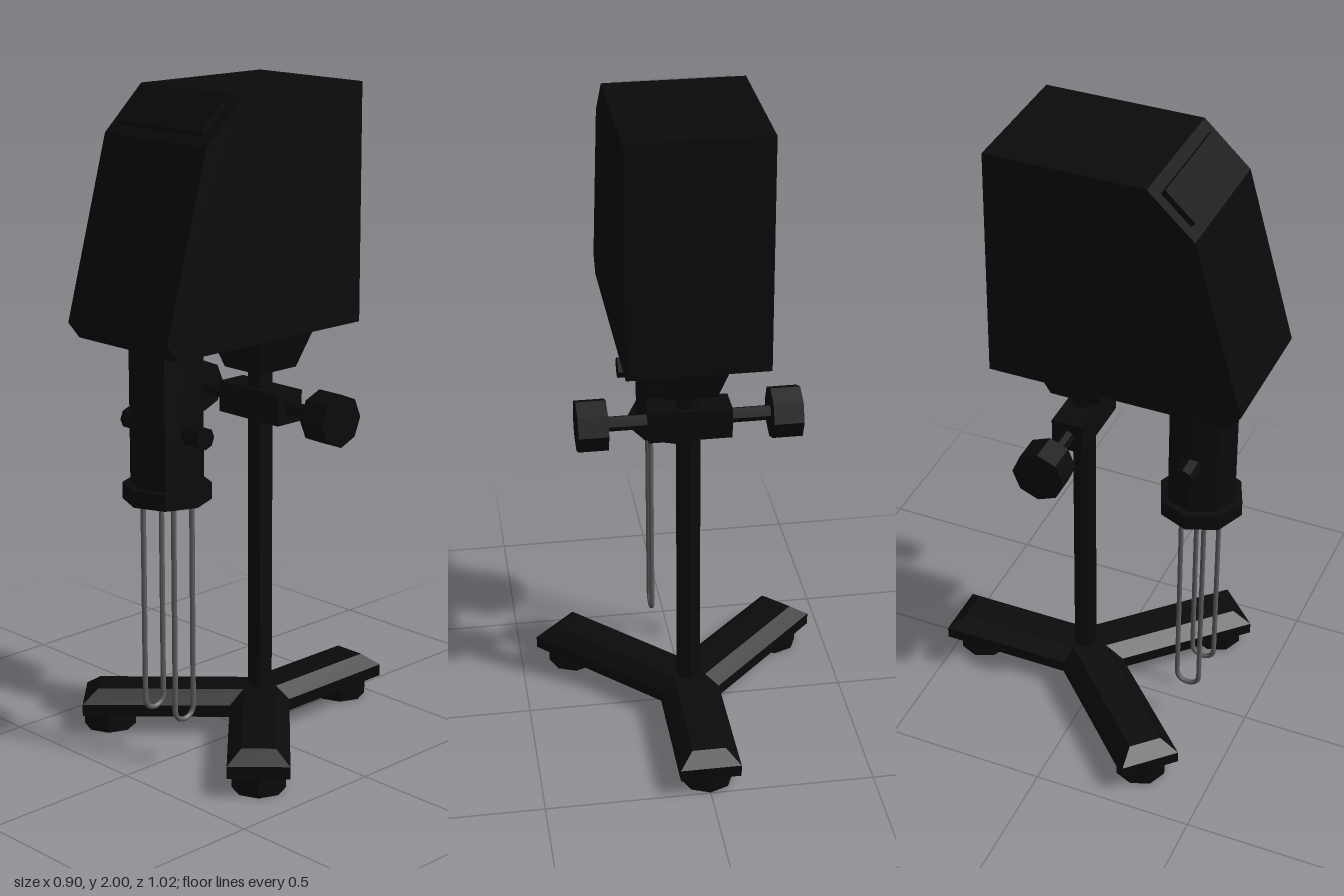
import * as THREE from 'three';

const black = new THREE.MeshStandardMaterial({ color: 0x0a0a0a, flatShading: true });
const steel = new THREE.MeshStandardMaterial({ color: 0x606060 });

const POST_Z = -0.055, BARREL_Z = 0.325, AXLE_Y = 1.045;

export function createModel() {
  const model = new THREE.Group();

  const add = (name, geometry, x = 0, y = 0, z = 0, parent = model, material = black) => {
    const mesh = new THREE.Mesh(geometry, material);
    mesh.name = name;
    mesh.position.set(x, y, z);
    parent.add(mesh);
    return mesh;
  };
  // Octagonal cylinder standing between two heights
  const upright = (name, r, y0, y1, x, z, parent) =>
    add(name, new THREE.CylinderGeometry(r, r, y1 - y0, 8), x, (y0 + y1) / 2, z, parent);
  // Octagonal cylinder lying along x
  const crosswise = (name, r, x0, x1, y, z, sides = 8) =>
    add(name, new THREE.CylinderGeometry(r, r, Math.abs(x1 - x0), sides).rotateZ(Math.PI / 2), (x0 + x1) / 2, y, z);

  // Motor housing: side profile (z, y) extruded across the width
  const profile = [[0.51, 1.34], [0.36, 1.87], [0.22, 2], [-0.26, 2], [-0.26, 1.29], [0.47, 1.29]];
  const shape = new THREE.Shape(profile.map(([z, y]) => new THREE.Vector2(z, y)));
  const housing = new THREE.ExtrudeGeometry(shape, { depth: 0.42, bevelEnabled: false });
  housing.translate(0, 0, -0.21).rotateY(-Math.PI / 2);
  add('motorHousing', housing);

  // Raised panel on the sloped upper front
  const panel = add('controlPanel', new THREE.BoxGeometry(0.35, 0.03, 0.12), 0, 1.937, 0.292);
  panel.rotation.x = Math.atan2(0.13, 0.14);

  // Square tapered neck above the post
  const neck = new THREE.CylinderGeometry(0.12 * Math.SQRT2, 0.075 * Math.SQRT2, 0.14, 4).rotateY(Math.PI / 4);
  add('neck', neck, 0, 1.22, POST_Z);
  upright('post', 0.037, 0.1, 1.16, 0, POST_Z);

  // Clamp with a knob at each end
  add('clampBlock', new THREE.BoxGeometry(0.25, 0.095, 0.1), 0, AXLE_Y, POST_Z);
  for (const s of [1, -1]) {
    crosswise('clampShaft', 0.023, s * 0.1, s * 0.26, AXLE_Y, POST_Z);
    crosswise('clampKnob', 0.08, s * 0.245, s * 0.335, AXLE_Y, POST_Z);
  }

  // Mixing barrel with side pegs and lower collar
  upright('barrel', 0.107, 0.85, 1.3, 0, BARREL_Z);
  upright('barrelCollar', 0.13, 0.82, 0.87, 0, BARREL_Z);
  for (const s of [1, -1]) crosswise('barrelPeg', 0.033, s * 0.08, s * 0.165, 1.033, BARREL_Z);

  // Wire beater loops
  const half = 0.036;
  const path = new THREE.CurvePath();
  const v = (y, z) => new THREE.Vector3(0, y, z);
  path.add(new THREE.LineCurve3(v(0.84, -half), v(0.185, -half)));
  path.add(new THREE.CubicBezierCurve3(v(0.185, -half), v(0.137, -half), v(0.137, half), v(0.185, half)));
  path.add(new THREE.LineCurve3(v(0.185, half), v(0.84, half)));
  for (const s of [1, -1])
    add('beaterLoop', new THREE.TubeGeometry(path, 160, 0.008, 8), s * 0.066, 0, BARREL_Z, model, steel);

  // Three-legged base with chamfered upper edges and round feet
  const addLeg = (name, angle, length, footAt) => {
    const leg = new THREE.Group();
    leg.name = name;
    leg.position.z = POST_Z;
    leg.rotation.y = angle;
    const bar = new THREE.BoxGeometry(0.184, 0.075, length, 1, 2, 1).translate(0, 0.0975, length / 2);
    const p = bar.attributes.position;
    for (let i = 0; i < p.count; i++) {
      if (p.getY(i) > 0.13) {
        p.setX(i, p.getX(i) * 0.55);
        if (p.getZ(i) > 0.1) p.setZ(i, length - 0.045);
      }
    }
    bar.computeVertexNormals();
    add('legBar', bar, 0, 0, 0, leg);
    const foot = upright('foot', 0.08, 0, 0.065, 0, footAt, leg);
    foot.rotation.y = -angle;
    model.add(leg);
  };
  addLeg('leftLeg', Math.PI / 4, 0.545, 0.467);
  addLeg('rightLeg', -Math.PI / 4, 0.545, 0.467);
  addLeg('backLeg', Math.PI, 0.453, 0.363);

  return model;
}
